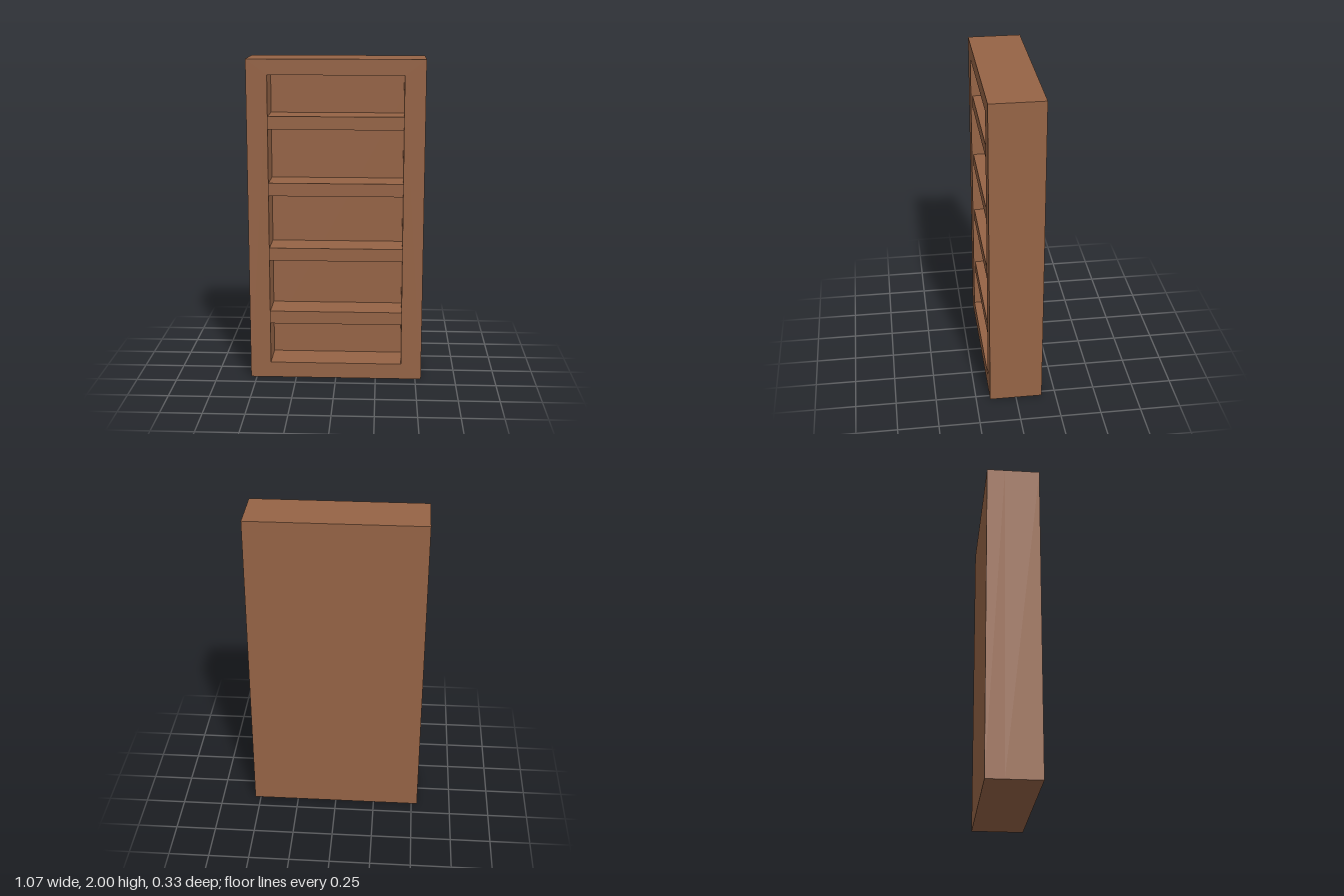
import * as THREE from 'three';

const WIDTH = 1.074, HEIGHT = 2, DEPTH = 0.326;
const OPEN_W = 0.82, OPEN_BOTTOM = 0.098, OPEN_TOP = 1.905, RECESS = 0.215;
const SHELF_THICK = 0.08, SHELF_INSET = 0.01;

export function createModel() {
  const group = new THREE.Group();
  group.name = 'bookcase';
  const wood = new THREE.MeshStandardMaterial({ color: 0x966446 });
  wood.name = 'brown wood';

  const add = (name, geometry, x, y, z) => {
    const mesh = new THREE.Mesh(geometry, wood);
    mesh.name = name;
    mesh.position.set(x, y, z);
    group.add(mesh);
  };
  const rectangle = (PathType, w, y0, y1) => new PathType([
    new THREE.Vector2(-w / 2, y0), new THREE.Vector2(w / 2, y0),
    new THREE.Vector2(w / 2, y1), new THREE.Vector2(-w / 2, y1),
  ]);

  // Outer frame with one tall opening
  const outline = rectangle(THREE.Shape, WIDTH, 0, HEIGHT);
  outline.holes.push(rectangle(THREE.Path, OPEN_W, OPEN_BOTTOM, OPEN_TOP));
  const frame = new THREE.ExtrudeGeometry(outline, { depth: RECESS, bevelEnabled: false });
  add('frame', frame, 0, 0, DEPTH / 2 - RECESS);

  // Thick back closing the opening
  const backDepth = DEPTH - RECESS;
  add('backPanel', new THREE.BoxGeometry(WIDTH, HEIGHT, backDepth),
    0, HEIGHT / 2, -DEPTH / 2 + backDepth / 2);

  // Four evenly spaced shelves, set slightly behind the front
  const shelfDepth = RECESS - SHELF_INSET;
  const shelf = new THREE.BoxGeometry(OPEN_W, SHELF_THICK, shelfDepth);
  for (let i = 0; i < 4; i++) {
    add(`shelf${i + 1}`, shelf, 0, 0.393 + i * 0.408,
      DEPTH / 2 - SHELF_INSET - shelfDepth / 2);
  }
  return group;
}
